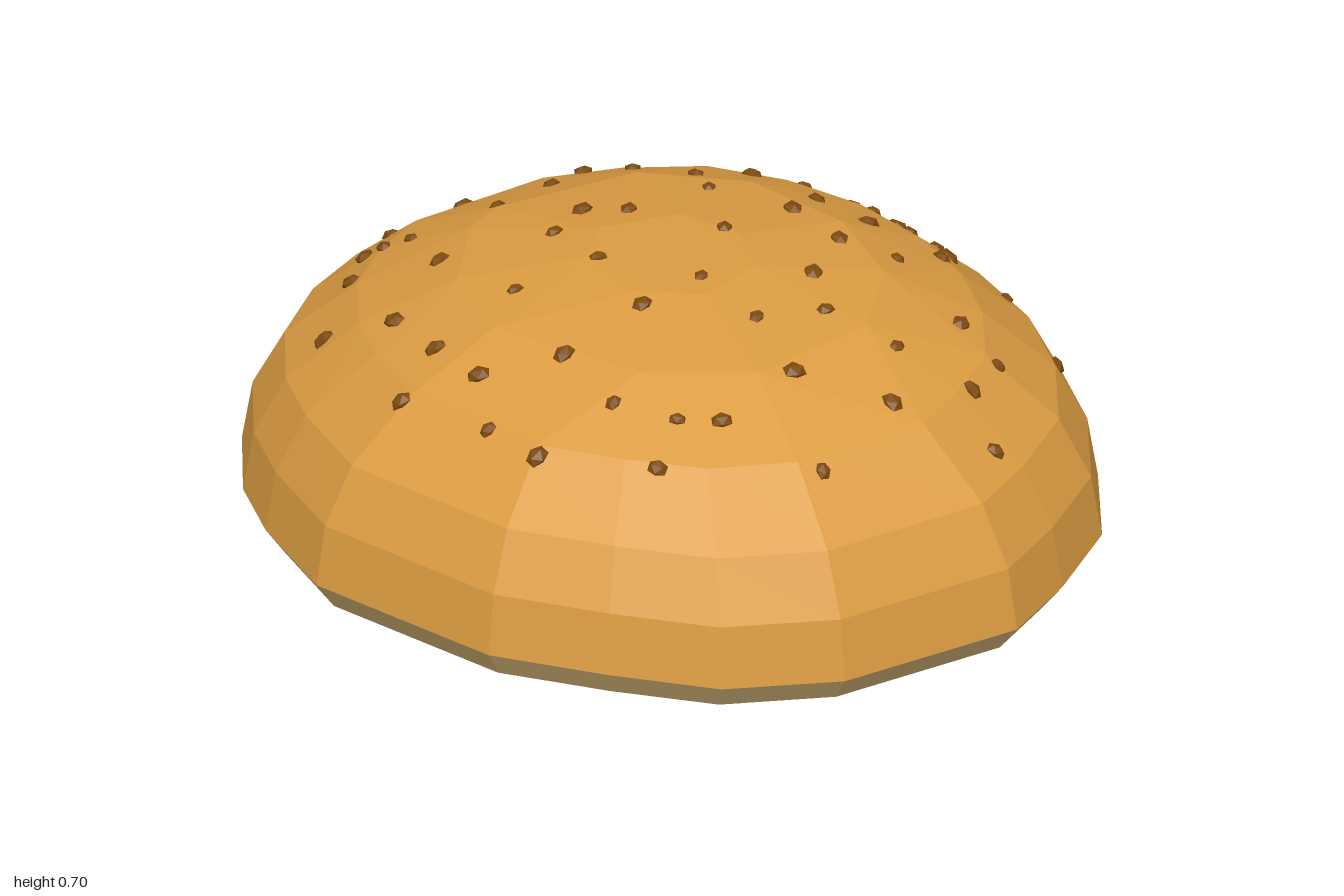
import * as THREE from 'three';

// Rim outline seen from above (x, z), starting at the back and turning towards +x
const OUTLINE = [
  [0, -1], [0.42, -0.87], [0.6, -0.72], [0.755, -0.52], [0.83, -0.27], [0.85, 0], [0.81, 0.27],
  [0.73, 0.5], [0.6, 0.7], [0.42, 0.87], [0.2, 0.95], [0, 0.995], [-0.42, 0.87], [-0.63, 0.7],
  [-0.75, 0.48], [-0.855, 0.23], [-0.85, -0.27], [-0.72, -0.53], [-0.6, -0.7], [-0.41, -0.87], [-0.2, -0.965],
];

// Seed positions seen from above (x, z)
const SEEDS = [
  0.01, -0.81, 0.055, -0.835, 0.22, -0.845, -0.15, -0.745, -0.14, -0.7, -0.115, -0.645, -0.27, -0.68,
  0.13, -0.71, 0.325, -0.75, 0.495, -0.66, -0.455, -0.595, -0.225, -0.465, 0.02, -0.515, 0.22, -0.535,
  0.37, -0.575, 0.4, -0.46, 0.51, -0.5, 0.68, -0.485, -0.43, -0.415, 0.63, -0.37, 0.73, -0.33,
  -0.635, -0.215, -0.495, -0.24, -0.285, -0.195, -0.055, -0.285, 0.065, -0.31, 0.115, -0.22, 0.325, -0.175,
  0.395, -0.275, 0.55, -0.25, 0.63, -0.17, 0.675, -0.25, 0.765, -0.18, -0.53, -0.085, -0.105, -0.115,
  -0.63, 0.03, -0.41, 0.055, -0.195, 0.09, -0.03, 0.115, 0.165, 0.01, 0.37, 0.025, 0.5, -0.02,
  0.63, 0.03, 0.675, -0.07, 0.75, -0.01, 0.71, 0.14, 0.63, 0.135, 0.5, 0.13, -0.64, 0.18,
  -0.46, 0.24, -0.06, 0.3, 0.165, 0.265, 0.335, 0.19, 0.4, 0.3, 0.55, 0.295, 0.61, 0.26,
  -0.52, 0.42, -0.41, 0.38, -0.35, 0.455, -0.135, 0.475, 0.075, 0.38, 0.12, 0.545, 0.34, 0.535,
  0.595, 0.585, 0.665, 0.38, -0.27, 0.675, -0.015, 0.65, 0.195, 0.695, 0.32, 0.66, 0.135, 0.815,
];

// The whole bun droops gently towards the back
const rimHeight = (z) => 0.14 + 0.035 * z - 0.045 * z * z;

// A ring is [scale of outline, height above rim, keep every nth point]
function ringPoint([scale, height, step], i) {
  const k = Math.floor((i % OUTLINE.length) / step) * step;
  const [x, z] = OUTLINE[k];
  return new THREE.Vector3(x * scale, rimHeight(z * scale) + height, z * scale);
}

// Skin between successive rings, dropping collapsed triangles
function loft(rings) {
  const pos = [];
  const tri = (a, b, c) => {
    if (a.distanceTo(b) < 1e-5 || b.distanceTo(c) < 1e-5 || a.distanceTo(c) < 1e-5) return;
    for (const p of [a, b, c]) pos.push(p.x, p.y, p.z);
  };
  for (let r = 0; r < rings.length - 1; r++) {
    for (let i = 0; i < OUTLINE.length; i++) {
      const a = ringPoint(rings[r], i), b = ringPoint(rings[r], i + 1);
      const d = ringPoint(rings[r + 1], i), c = ringPoint(rings[r + 1], i + 1);
      tri(a, d, c);
      tri(a, c, b);
    }
  }
  const geo = new THREE.BufferGeometry();
  geo.setAttribute('position', new THREE.Float32BufferAttribute(pos, 3));
  geo.computeVertexNormals();
  return geo;
}

function part(name, geometry, material) {
  const mesh = new THREE.Mesh(geometry, material);
  mesh.name = name;
  return mesh;
}

export function createModel() {
  const group = new THREE.Group();
  group.name = 'bunTop';
  const paint = (color) => new THREE.MeshStandardMaterial({ color, flatShading: true });
  const crustMat = paint(0xdc9c42), crumbMat = paint(0xd0b074), seedMat = paint(0x7c4a10);

  // Domed crust
  const crust = part('crust', loft([
    [1, 0, 1], [0.975, 0.14, 1], [0.9, 0.27, 1], [0.73, 0.4, 1], [0.5, 0.5, 2], [0.2, 0.545, 3], [0, 0.545, 1],
  ]), crustMat);
  group.add(crust);

  // Pale bevel and hollow underside, with a brown patch in the middle
  group.add(part('underside', loft([[0.5, 0.09, 3], [0.95, -0.066, 1], [1, 0, 1]]), crumbMat));
  group.add(part('undersidePatch', loft([[0, 0.09, 1], [0.5, 0.09, 3]]), crustMat));

  // Seeds dropped onto the crust and tilted to its slope
  const seeds = new THREE.Group();
  seeds.name = 'seeds';
  const seedGeo = new THREE.IcosahedronGeometry(0.026, 0);
  const ray = new THREE.Raycaster();
  const up = new THREE.Vector3(0, 1, 0);
  for (let i = 0; i < SEEDS.length; i += 2) {
    ray.set(new THREE.Vector3(SEEDS[i], 2, SEEDS[i + 1]), new THREE.Vector3(0, -1, 0));
    const hit = ray.intersectObject(crust)[0];
    if (!hit) continue;
    const seed = part('seed', seedGeo, seedMat);
    seed.position.copy(hit.point);
    seed.quaternion.setFromUnitVectors(up, hit.face.normal);
    seed.rotateY(i * 1.7);
    const size = 0.85 + 0.15 * Math.sin(i * 2.3);
    seed.scale.set(size * 1.1, size * 0.65, size * 0.9);
    seeds.add(seed);
  }
  group.add(seeds);
  return group;
}
